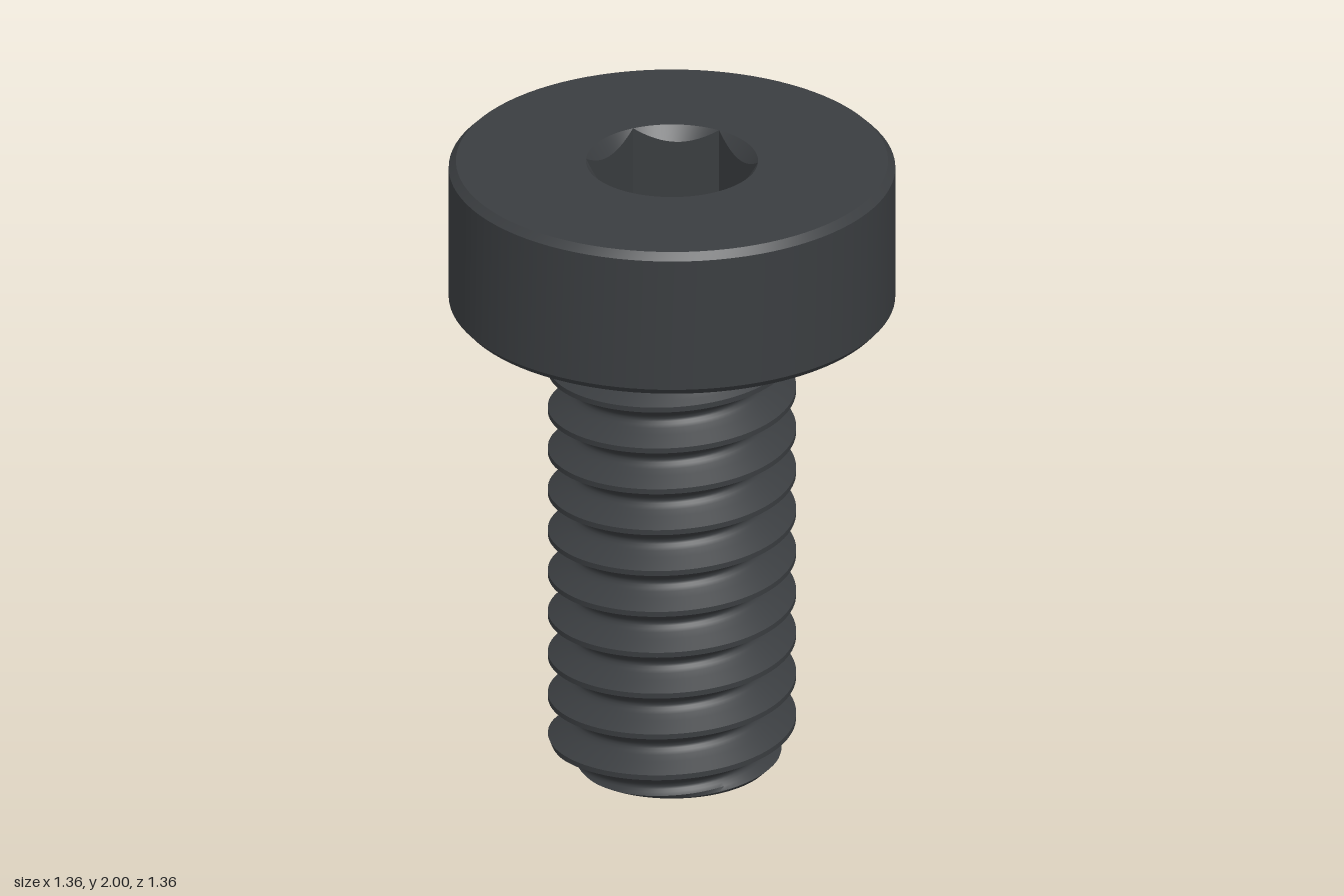
import * as THREE from 'three';
import { toCreasedNormals } from 'three/addons/utils/BufferGeometryUtils.js';

const SEG = 96;
const TAU = Math.PI * 2;
const clamp = THREE.MathUtils.clamp;

// Skin stacked rings; at(row, angle) gives [radius, y]. Front side is outward for rising rows.
function skin(rows, at, crease = 0.6) {
  const grid = [];
  for (let i = 0; i < rows; i++) {
    grid.push([]);
    for (let j = 0; j <= SEG; j++) {
      const a = (j / SEG) * TAU;
      const [r, y] = at(i, a);
      grid[i].push(new THREE.Vector3(r * Math.cos(a), y, -r * Math.sin(a)));
    }
  }
  const pos = [];
  const same = (p, q) => p.distanceToSquared(q) < 1e-12;
  const tri = (p, q, s) => {
    if (same(p, q) || same(q, s) || same(p, s)) return;
    for (const v of [p, q, s]) pos.push(v.x, v.y, v.z);
  };
  for (let i = 0; i < rows - 1; i++) {
    for (let j = 0; j < SEG; j++) {
      const a = grid[i][j], b = grid[i][j + 1], c = grid[i + 1][j + 1], d = grid[i + 1][j];
      tri(a, b, c);
      tri(a, c, d);
    }
  }
  const geo = new THREE.BufferGeometry();
  geo.setAttribute('position', new THREE.Float32BufferAttribute(pos, 3));
  // enlarged while creasing so that close vertices stay distinct
  geo.scale(100, 100, 100);
  const out = toCreasedNormals(geo, crease);
  out.scale(0.01, 0.01, 0.01);
  return out;
}

const revolve = (profile) => skin(profile.length, (i) => profile[i]);

// Thread: right-handed helix, flat crest, 60 degree flanks and rounded root
const PITCH = 0.1372, CREST = 0.378, ROOT = 0.293, START = 0.138, SHANK_TOP = 1.495;

function threadRadius(a, y) {
  const t = (y - START) / PITCH - a / TAU;
  const u = Math.abs(t - Math.round(t)); // 0 at crest, 0.5 at root
  let r = CREST;
  if (u > 0.335) r = ROOT + 0.72 * (0.5 - u) ** 2;
  else if (u > 0.06) r = CREST - 0.2376 * (u - 0.06);
  const fade = clamp((SHANK_TOP - y) / 0.11, 0, 1); // run-out below the head
  r = CREST - (CREST - r) * fade;
  return Math.min(r, 0.305 + y); // end chamfer
}

function threadGeometry() {
  const steps = [0.06, 0.15, 0.245, 0.335, 0.39, 0.445, 0.5, 0.555, 0.61, 0.665, 0.755, 0.85, 0.94];
  const turns = 14, n = steps.length;
  return skin(turns * n + 1, (i, a) => {
    if (i === 0) return [0, 0]; // centre of the flat end
    const k = Math.floor((i - 1) / n) - 3;
    const y = clamp(START + PITCH * (k + steps[(i - 1) % n] + a / TAU), 0, SHANK_TOP);
    return [threadRadius(a, y), y];
  });
}

// Hexagonal socket with a conical lead-in and a flat floor
function socketGeometry() {
  const rim = 0.262, flat = rim * Math.cos(Math.PI / 6), floor = 1.7;
  const hex = (a) => flat / Math.cos((a % (Math.PI / 3)) - Math.PI / 6);
  return skin(4, (i, a) => {
    const r = hex(a);
    return [[rim, 2], [r, 2 - 1.2 * (rim - r)], [r, floor], [0, floor]][i];
  }, 0.5);
}

export function createModel() {
  const group = new THREE.Group();
  const material = new THREE.MeshStandardMaterial({ color: 0x3a3d40 });
  const add = (name, geo) => {
    const mesh = new THREE.Mesh(geo, material);
    mesh.name = name;
    group.add(mesh);
  };

  // Chamfered cylindrical head
  add('head', revolve([
    [0.4, 1.525], [0.66, 1.525], [0.68, 1.547], [0.68, 1.978], [0.658, 2], [0.262, 2],
  ]));
  add('hexSocket', socketGeometry());

  // Fillet between shank and head
  const fillet = [];
  for (let i = 0; i <= 6; i++) {
    const t = Math.PI - (i / 6) * (Math.PI / 2);
    fillet.push([0.41 + 0.032 * Math.cos(t), SHANK_TOP + 0.03 * Math.sin(t)]);
  }
  add('underHeadFillet', revolve(fillet));

  add('threadedShank', threadGeometry());
  return group;
}
